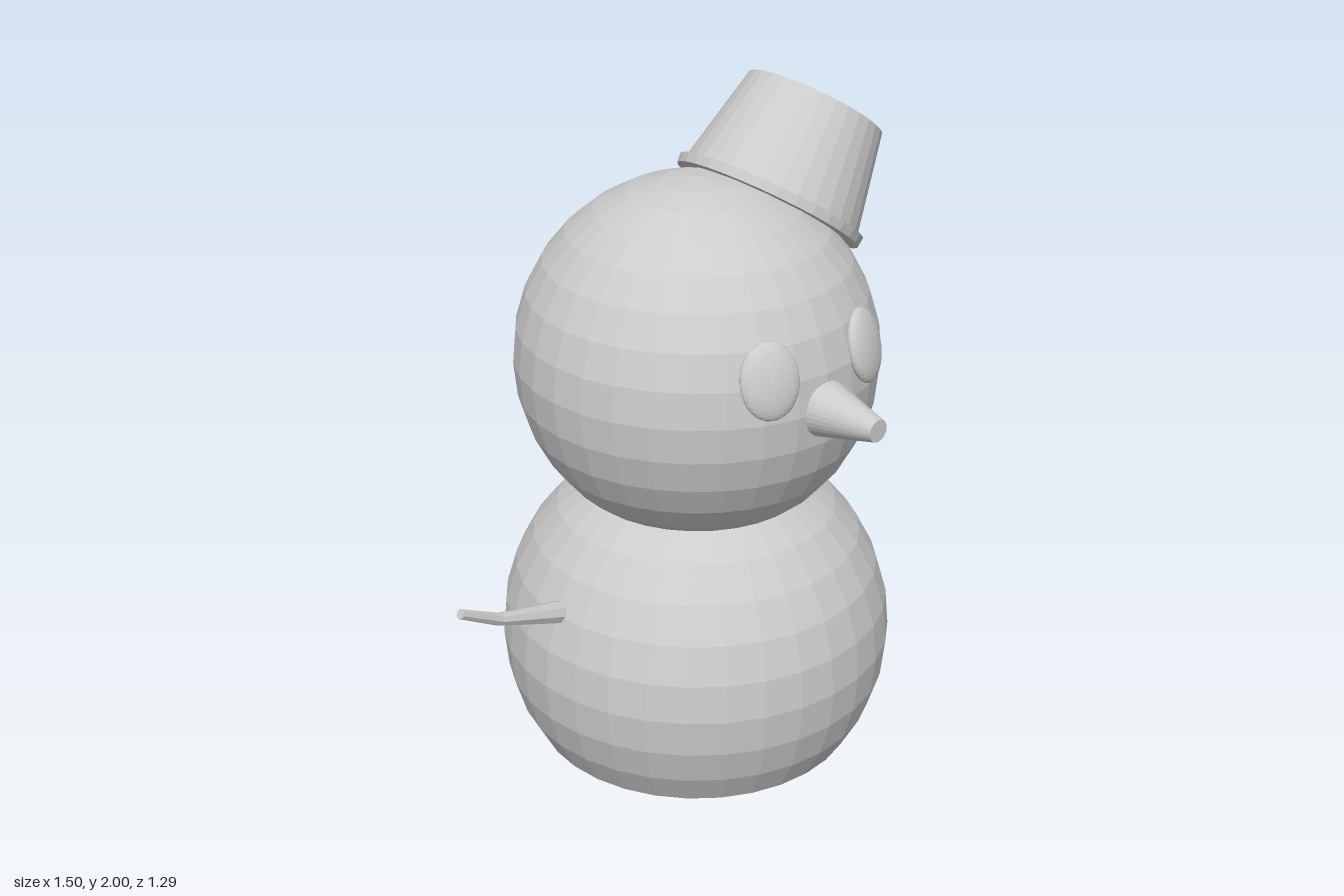
import * as THREE from 'three';

const CX = 0.125, CZ = -0.06; // vertical axis of the figure

export function createModel() {
  const group = new THREE.Group();
  const material = new THREE.MeshStandardMaterial({ color: 0xcccccc, flatShading: true });

  const add = (name, geometry, x, y, z) => {
    const mesh = new THREE.Mesh(geometry, material);
    mesh.name = name;
    mesh.position.set(x, y, z);
    group.add(mesh);
    return mesh;
  };

  // Move every vertex of a geometry by a rule
  const reshape = (geometry, rule) => {
    const pos = geometry.attributes.position;
    const v = new THREE.Vector3();
    for (let i = 0; i < pos.count; i++) {
      v.fromBufferAttribute(pos, i);
      rule(v);
      pos.setXYZ(i, v.x, v.y, v.z);
    }
    geometry.computeVertexNormals();
    return geometry;
  };

  // Body: a ball pressed flat where it stands
  const body = reshape(new THREE.SphereGeometry(0.583, 32, 16), (v) => {
    if (v.y < -0.34) {
      v.y = -0.345 + (v.y + 0.345) * 0.063;
      v.x *= 1.04;
      v.z *= 1.04;
    }
  });
  add('body', body, CX, 0.36, CZ);

  // Head
  add('head', new THREE.SphereGeometry(0.525, 32, 16), CX, 1.24, CZ);

  // Eyes: flattened ovals lying on the head
  for (const side of [-1, 1]) {
    const eye = add(side < 0 ? 'rightEye' : 'leftEye',
      new THREE.SphereGeometry(1, 24, 16), CX + side * 0.18, 1.362, 0.418);
    eye.scale.set(0.086, 0.107, 0.032);
    eye.rotation.set(-0.25, side * 0.36, 0, 'YXZ');
  }

  // Nose: blunt cone pointing forward
  const nose = add('nose', new THREE.CylinderGeometry(0.032, 0.093, 0.245, 32), CX, 1.24, 0.5225);
  nose.rotation.x = Math.PI / 2;

  // Hat: tilted bucket with a thin rim
  const profile = [[0, 0], [0.285, 0], [0.288, 0.028], [0.27, 0.03], [0.21, 0.321], [0, 0.321]]
    .map(([r, y]) => new THREE.Vector2(r, y));
  const hat = add('bucketHat', new THREE.LatheGeometry(profile, 32), 0.397, 1.617, CZ);
  hat.rotation.z = THREE.MathUtils.degToRad(-35);

  // Arm: tapered, bent twig on the right side; each ring is x, y, radius, lean
  const rings = [
    [-0.33, 0.563, 0.036, 0.25], [-0.41, 0.59, 0.033, 0.25],
    [-0.612, 0.648, 0.019, 0.4], [-0.743, 0.717, 0.0145, 0.5],
  ];
  const arm = reshape(new THREE.CylinderGeometry(1, 1, 3, 8, 3), (v) => {
    const [x, y, r, lean] = rings[Math.round(v.y + 1.5)];
    const across = v.x * r;
    v.set(x + across * Math.sin(lean), y + across * Math.cos(lean), CZ + v.z * r * 1.05);
  });
  add('rightArm', arm, 0, 0, 0);

  return group;
}
